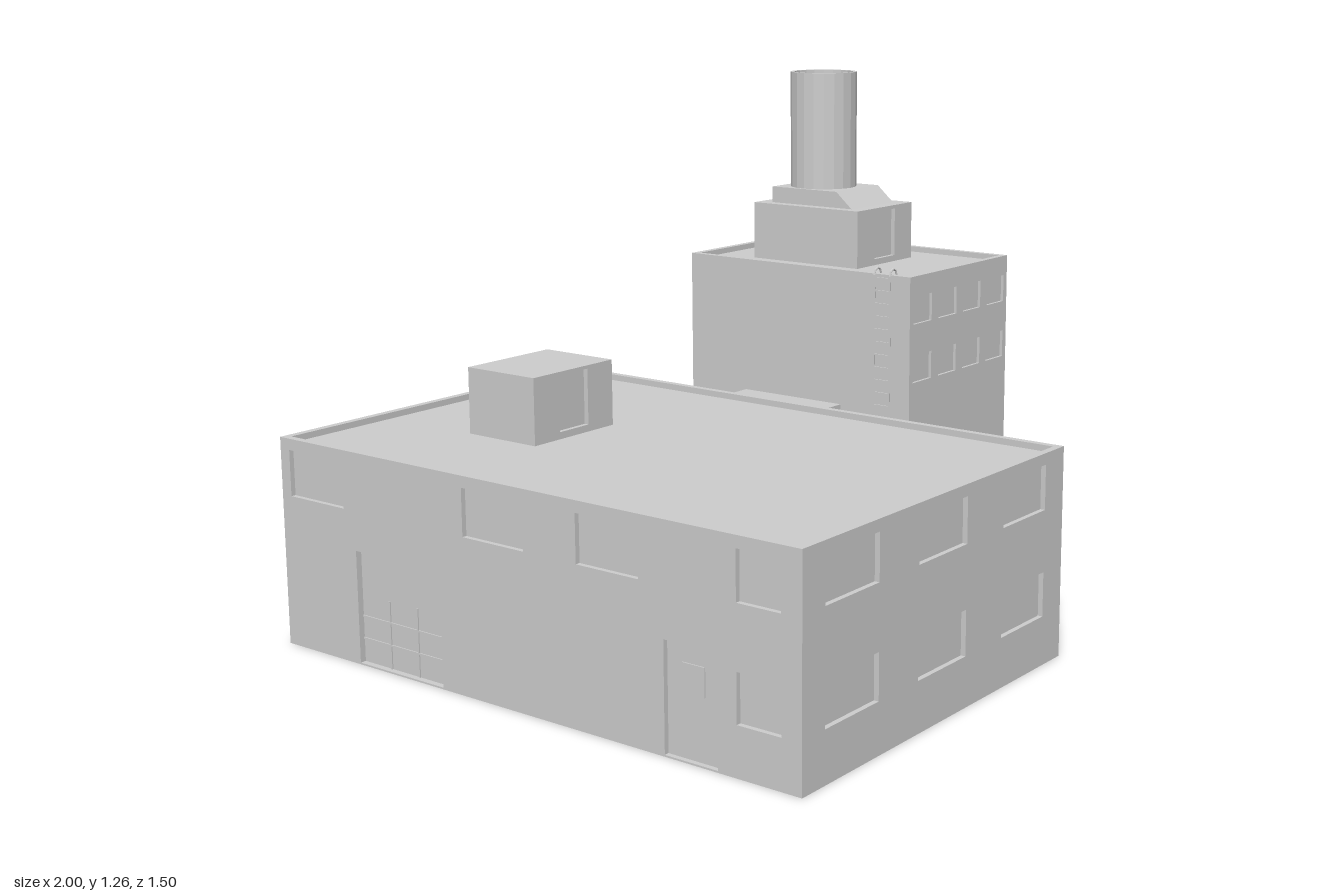
import * as THREE from 'three';

const material = new THREE.MeshStandardMaterial({ color: 0xcccccc, flatShading: true, side: THREE.DoubleSide });

function add(parent, name, geometry, x = 0, y = 0, z = 0) {
  const mesh = new THREE.Mesh(geometry, material);
  mesh.name = name;
  mesh.position.set(x, y, z);
  parent.add(mesh);
  return mesh;
}

function rectPath(path, a, b, c, d) {
  path.moveTo(a, c);
  path.lineTo(b, c);
  path.lineTo(b, d);
  path.lineTo(a, d);
  path.closePath();
  return path;
}

// Five-sided recess, open to the front
function recessGeometry(w, h, d) {
  const g = new THREE.BoxGeometry(w, h, d);
  const index = Array.from(g.index.array);
  index.splice(24, 6);
  g.setIndex(index);
  return g;
}

// Thin wall in the local XY plane with recessed openings { u: [a, b], v: [c, d], depth, name }
function wall(parent, name, u, v, openings = []) {
  const group = new THREE.Group();
  group.name = name;
  const shape = rectPath(new THREE.Shape(), u[0], u[1], v[0], v[1]);
  for (const o of openings) {
    const [a, b] = o.u, [c, d] = o.v;
    shape.holes.push(rectPath(new THREE.Path(), a, b, c, d));
    add(group, o.name, recessGeometry(b - a, d - c, o.depth), (a + b) / 2, (c + d) / 2, -o.depth / 2);
    if (o.detail) o.detail(group, o);
  }
  add(group, name + 'Panel', new THREE.ShapeGeometry(shape));
  parent.add(group);
  return group;
}

// Floorless block; openings are given in world x or z and turned to each wall's own axis
function block(parent, name, x, y, z, openings = {}, rim = 0) {
  const group = new THREE.Group();
  group.name = name;
  const flip = ([a, b]) => [-b, -a];
  const flipAll = (list = []) => list.map(o => ({ ...o, u: flip(o.u) }));
  wall(group, 'frontWall', x, y, openings.front).position.z = z[1];
  const back = wall(group, 'backWall', flip(x), y, flipAll(openings.back));
  back.rotation.y = Math.PI;
  back.position.z = z[0];
  const left = wall(group, 'leftWall', flip(z), y, flipAll(openings.left));
  left.rotation.y = Math.PI / 2;
  left.position.x = x[1];
  const right = wall(group, 'rightWall', z, y, openings.right);
  right.rotation.y = -Math.PI / 2;
  right.position.x = x[0];
  // Roof, sunk behind a parapet when a rim is given
  const sunk = rim ? [{
    name: 'sunkenRoof', depth: 0.015,
    u: [x[0] + rim, x[1] - rim], v: [-z[1] + rim, -z[0] - rim],
  }] : [];
  const roof = wall(group, 'roof', x, flip(z), sunk);
  roof.rotation.x = -Math.PI / 2;
  roof.position.y = y[1];
  parent.add(group);
  return group;
}

const windowAt = (a, b, c, d, depth = 0.012) => ({ name: 'window', u: [a, b], v: [c, d], depth });

// Plain door, optionally with a small framed light
function doorAt(a, b, top, light = false, bottom = 0.004) {
  return {
    name: 'door', u: [a, b], v: [bottom, top], depth: 0.012,
    detail: light ? (group, o) => {
      const w = o.u[1] - o.u[0], h = top - bottom;
      add(group, 'doorLight', new THREE.BoxGeometry(w * 0.42, h * 0.26, 0.006),
        (o.u[0] + o.u[1]) / 2, bottom + h * 0.7, -o.depth);
    } : null,
  };
}

// Roller door with a grid of bars over its lower part
function garageAt(a, b) {
  return {
    name: 'garageDoor', u: [a, b], v: [0.004, 0.27], depth: 0.015,
    detail: (group, o) => {
      const w = o.u[1] - o.u[0];
      for (const t of [1 / 3, 2 / 3])
        add(group, 'verticalBar', new THREE.BoxGeometry(0.004, 0.161, 0.006), o.u[0] + w * t, 0.0845, -o.depth);
      for (const y of [0.06, 0.113])
        add(group, 'horizontalBar', new THREE.BoxGeometry(w, 0.004, 0.006), o.u[0] + w / 2, y, -o.depth);
    },
  };
}

// Even rows of four shallow tower windows
function towerRows(levels) {
  const list = [];
  for (const y of levels)
    for (let i = 0; i < 4; i++) {
      const c = 0.5625 + i * 0.125;
      list.push(windowAt(c - 0.045, c + 0.045, y, y + 0.075, 0.008));
    }
  return list;
}

export function createModel() {
  const model = new THREE.Group();
  model.name = 'industrialBuilding';

  // Two-storey office block
  const front = [], left = [];
  for (const [c, d] of [[0.117, 0.222], [0.368, 0.473]]) {
    for (const [a, b] of [[-0.925, -0.74], [-0.595, -0.41], [-0.262, -0.08]]) front.push(windowAt(a, b, c, d));
    for (const [a, b] of [[0.596, 0.704], [0.156, 0.364], [-0.13, 0.076]]) left.push(windowAt(a, b, c - 0.005, d));
  }
  left.push(doorAt(0.408, 0.546, 0.25, true));
  const right = [
    windowAt(0.59, 0.7, 0.112, 0.222), windowAt(0.59, 0.7, 0.363, 0.473),
    windowAt(0.17, 0.34, 0.363, 0.473), windowAt(-0.16, 0.02, 0.363, 0.473),
    windowAt(-0.72, -0.54, 0.363, 0.473),
    doorAt(0.404, 0.542, 0.25, true), garageAt(-0.505, -0.235),
  ];
  block(model, 'officeBlock', [-1, 0], [0, 0.5], [-0.75, 0.75], { front, left, right }, 0.018);
  block(model, 'officeRoofHut', [-0.672, -0.404], [0.485, 0.645], [-0.465, -0.255],
    { front: [doorAt(-0.588, -0.49, 0.637, false, 0.502)] });

  // Low connecting passage with entrance step
  block(model, 'connectingPassage', [0, 0.5], [0, 0.375], [-0.555, -0.225], {
    front: [doorAt(0.195, 0.303, 0.215, true, 0.01), windowAt(0.03, 0.14, 0.12, 0.22, 0.008),
      windowAt(0.36, 0.47, 0.12, 0.22, 0.008)],
  });
  add(model, 'entranceStep', new THREE.BoxGeometry(0.108, 0.01, 0.036), 0.249, 0.005, -0.207);

  // Tower block
  block(model, 'towerBlock', [0.5, 1], [0, 0.75], [-0.75, 0], {
    front: towerRows([0.62, 0.46]),
    back: towerRows([0.62, 0.46, 0.3, 0.14]),
    left: [garageAt(-0.238, -0.022), garageAt(-0.498, -0.282), doorAt(-0.67, -0.596, 0.15)],
  }, 0.018);
  block(model, 'towerRoofHut', [0.615, 0.885], [0.735, 0.895], [-0.612, -0.252],
    { front: [doorAt(0.7, 0.8, 0.885, false, 0.752)] });

  // Chimney base with sloped front
  const profile = new THREE.Shape();
  profile.moveTo(0.295, 0.895);
  profile.lineTo(0.57, 0.895);
  profile.lineTo(0.57, 0.94);
  profile.lineTo(0.347, 0.94);
  profile.closePath();
  const base = add(model, 'chimneyBase',
    new THREE.ExtrudeGeometry(profile, { depth: 0.206, bevelEnabled: false }), 0.647, 0, 0);
  base.rotation.y = Math.PI / 2;

  // Chimney with hollow mouth
  const outline = [[0.094, 0.94], [0.094, 1.265], [0.084, 1.265], [0.084, 1.235], [0, 1.235]];
  add(model, 'chimney', new THREE.LatheGeometry(outline.map(p => new THREE.Vector2(...p)), 20), 0.75, 0, -0.465);

  // Ladder curling over the tower parapet
  const ladder = new THREE.Group();
  ladder.name = 'ladder';
  for (const z of [-0.062, -0.112]) {
    const path = new THREE.CurvePath();
    const arc = [];
    for (let i = 0; i <= 6; i++) {
      const t = Math.PI * (1 - i / 6);
      arc.push(new THREE.Vector3(0.511 + 0.016 * Math.cos(t), 0.75 + 0.016 * Math.sin(t), z));
    }
    const points = [new THREE.Vector3(0.495, 0.01, z), ...arc, new THREE.Vector3(0.527, 0.735, z)];
    for (let i = 1; i < points.length; i++) path.add(new THREE.LineCurve3(points[i - 1], points[i]));
    add(ladder, 'ladderRail', new THREE.TubeGeometry(path, 60, 0.003, 6));
  }
  for (let y = 0.04; y < 0.75; y += 0.035)
    add(ladder, 'ladderRung', new THREE.BoxGeometry(0.004, 0.004, 0.05), 0.495, y, -0.087);
  model.add(ladder);

  return model;
}
